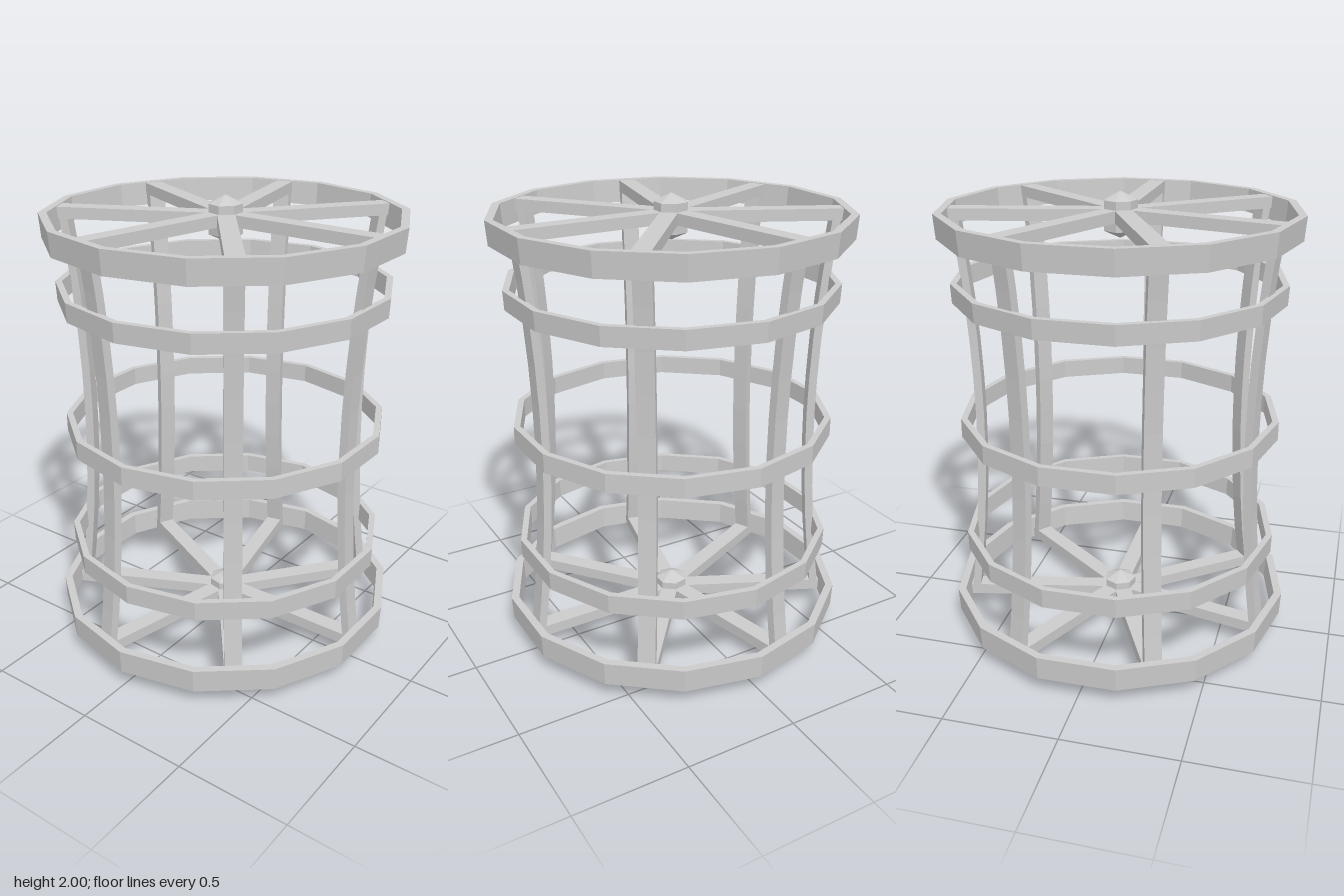
import * as THREE from 'three';

const SPOKES = 7;
const mat = new THREE.MeshStandardMaterial({ color: 0xcccccc, flatShading: true });

function add(parent, name, geometry) {
  const mesh = new THREE.Mesh(geometry, mat);
  mesh.name = name;
  parent.add(mesh);
  return mesh;
}

// Faceted solid of revolution; the profile runs from bottom to top on the outside
function lathe(points, sides) {
  const geo = new THREE.LatheGeometry(points.map(([r, y]) => new THREE.Vector2(r, y)), sides);
  return geo.rotateY(Math.PI / sides);
}

// 14-sided hoop with a slight downward taper
function hoop(bottom, top, outer, inner, taper) {
  return lathe([
    [inner - taper, bottom], [outer - taper, bottom],
    [outer, top], [inner, top], [inner - taper, bottom],
  ], SPOKES * 2);
}

// Upright slat that bows inward at mid height
function slatGeometry() {
  const steps = 10, y0 = 0.1, y1 = 1.9, half = 0.018, width = 0.075;
  const outer = [], inner = [];
  for (let i = 0; i <= steps; i++) {
    const y = y0 + (y1 - y0) * i / steps;
    const r = 0.627 + 0.055 * ((y - 1) / 0.83) ** 2;
    outer.push(new THREE.Vector2(r + half, y));
    inner.unshift(new THREE.Vector2(r - half, y));
  }
  const geo = new THREE.ExtrudeGeometry(new THREE.Shape([...outer, ...inner]),
    { depth: width, bevelEnabled: false });
  return geo.translate(0, 0, -width / 2);
}

export function createModel() {
  const model = new THREE.Group();
  model.name = 'cage';

  // Hoops: two wide end rims and three bands between them
  add(model, 'topRim', hoop(1.83, 1.933, 0.77, 0.735, 0.008));
  add(model, 'upperBand', hoop(1.56, 1.643, 0.718, 0.69, 0.004));
  add(model, 'middleBand', hoop(0.955, 1.038, 0.708, 0.68, 0));
  add(model, 'lowerBand', hoop(0.395, 0.481, 0.71, 0.682, 0.003));
  add(model, 'bottomRim', hoop(0.077, 0.183, 0.77, 0.735, 0.006));

  // Spokes and slats share the same seven directions, the first facing front
  const slat = slatGeometry();
  const spoke = new THREE.BoxGeometry(0.725, 0.05, 0.075).translate(0.3625, 0, 0);
  for (let i = 0; i < SPOKES; i++) {
    const angle = -Math.PI / 2 + i * 2 * Math.PI / SPOKES;
    add(model, 'slat', slat).rotation.y = angle;
    for (const [name, y] of [['topSpoke', 1.905], ['bottomSpoke', 0.103]]) {
      const mesh = add(model, name, spoke);
      mesh.position.y = y;
      mesh.rotation.y = angle;
    }
  }

  // Seven-sided hubs with a shallow point at both ends
  const hub = lathe([[0, -0.098], [0.073, -0.063], [0.073, 0.063], [0, 0.098]], SPOKES);
  add(model, 'topHub', hub).position.y = 1.902;
  add(model, 'bottomHub', hub).position.y = 0.098;

  return model;
}
